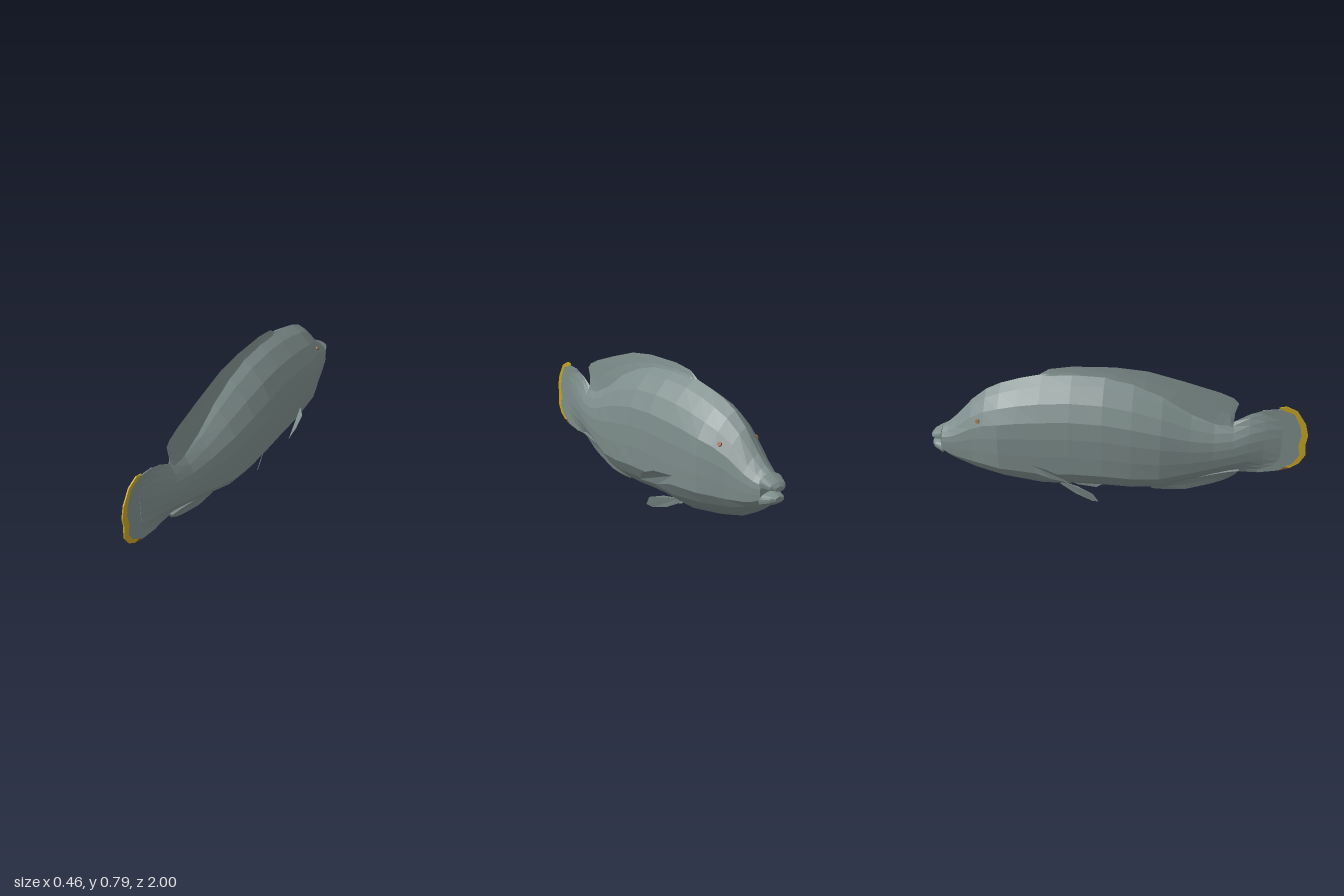
import * as THREE from 'three';

const mat = (name, color, extra = {}) => {
  const m = new THREE.MeshStandardMaterial({ color, flatShading: true, ...extra });
  m.name = name;
  return m;
};

// Skin over rings of [x, y, z] points; rings run towards +z, points counterclockwise seen from +z
function loft(rings) {
  const n = rings[0].length, idx = [];
  for (let i = 0; i < rings.length - 1; i++)
    for (let j = 0; j < n; j++) {
      const a = i * n + j, b = i * n + (j + 1) % n;
      idx.push(a, b, b + n, a, b + n, a + n);
    }
  const last = (rings.length - 1) * n;
  for (let j = 1; j < n - 1; j++) idx.push(0, j + 1, j, last, last + j, last + j + 1);
  const g = new THREE.BufferGeometry();
  g.setAttribute('position', new THREE.Float32BufferAttribute(rings.flat(2), 3));
  g.setIndex(idx);
  g.computeVertexNormals();
  return g;
}

// Half cross-section, from keel to back: [share of half width, share of height]
const HALF = [[0, 0], [0.38, 0.06], [0.73, 0.14], [0.97, 0.24], [1, 0.4], [1, 0.56],
  [0.94, 0.7], [0.7, 0.83], [0.34, 0.94], [0, 1]];

// Full ring at z; pinch makes the section lens-shaped towards the tail
function section([z, bottom, top, w, pinch = 0]) {
  const right = HALF.map(([fx, fy]) => [
    w * fx * (1 - pinch + pinch * Math.sin(Math.PI * fy)), bottom + (top - bottom) * fy, z]);
  const left = right.slice(1, -1).reverse().map(([x, y, zz]) => [-x, y, zz]);
  return [...right, ...left];
}

// Median fin: columns of [base z, base y, tip z, tip y]; wedge-shaped in section
function medianFin(columns, w) {
  return loft(columns.map(([bz, by, tz, ty]) => {
    const s = ty > by ? w : -w, mz = (bz + tz) / 2, my = (by + ty) / 2;
    return [[s, by, bz], [s * 0.4, my, mz], [0, ty, tz], [-s * 0.4, my, mz], [-s, by, bz]];
  }));
}

// Flat sheet from a list of corners, mirrored by side
function sheet(points, side) {
  const g = new THREE.BufferGeometry();
  const p = points.map(([x, y, z]) => [x * side, y, z]);
  const idx = [];
  for (let i = 1; i < p.length - 1; i++)
    side > 0 ? idx.push(0, i, i + 1) : idx.push(0, i + 1, i);
  g.setAttribute('position', new THREE.Float32BufferAttribute(p.flat(), 3));
  g.setIndex(idx);
  g.computeVertexNormals();
  return g;
}

// Thin upright plate on the middle plane from [z, y] corners
function plate(points, depth) {
  const shape = new THREE.Shape(points.map(([z, y]) => new THREE.Vector2(z, y)));
  const g = new THREE.ExtrudeGeometry(shape, { depth, bevelEnabled: false });
  return g.translate(0, 0, -depth / 2).rotateY(-Math.PI / 2);
}

export function createModel() {
  const grey = mat('greyScales', 0x7d8d8b);
  const finGrey = grey.clone();
  finGrey.side = THREE.DoubleSide;
  finGrey.name = 'greyFin';
  const yellow = mat('yellowEdge', 0xc4a322);
  const brown = mat('brownEye', 0x8c5a30);

  const fish = new THREE.Group();
  fish.name = 'fish';
  const add = (name, geometry, material) => {
    const m = new THREE.Mesh(geometry, material);
    m.name = name;
    fish.add(m);
    return m;
  };

  // Body from snout to tail root: z, bottom, top, half width, pinch
  add('body', loft([
    [-0.94, 0.237, 0.388, 0.064], [-0.9, 0.207, 0.415, 0.078], [-0.85, 0.178, 0.46, 0.092],
    [-0.76, 0.134, 0.56, 0.114], [-0.68, 0.113, 0.625, 0.14], [-0.6, 0.094, 0.665, 0.163],
    [-0.5, 0.078, 0.698, 0.167], [-0.38, 0.06, 0.728, 0.171], [-0.22, 0.072, 0.745, 0.176],
    [-0.05, 0.075, 0.742, 0.178], [0.1, 0.07, 0.712, 0.171, 0.05], [0.25, 0.085, 0.655, 0.151, 0.1],
    [0.4, 0.14, 0.565, 0.108, 0.15], [0.52, 0.18, 0.52, 0.076, 0.25], [0.62, 0.21, 0.517, 0.055, 0.4],
    [0.7, 0.214, 0.567, 0.04, 0.7], [0.78, 0.217, 0.598, 0.022, 0.9], [0.87, 0.245, 0.6, 0.005, 1],
  ].map(section)), grey);

  // Jaws with an open slot between them
  add('upperJaw', loft([[-1, 0.32, 0.342, 0.024], [-0.985, 0.317, 0.36, 0.046],
    [-0.935, 0.312, 0.392, 0.066]].map(section)), grey);
  add('lowerJaw', loft([[-0.998, 0.268, 0.294, 0.022], [-0.98, 0.255, 0.301, 0.044],
    [-0.935, 0.234, 0.309, 0.066]].map(section)), grey);

  // Dorsal and anal fins
  add('dorsalFin', medianFin([
    [-0.4, 0.7, -0.39, 0.728], [-0.34, 0.71, -0.34, 0.76], [-0.22, 0.72, -0.22, 0.781],
    [0, 0.71, 0, 0.79], [0.15, 0.67, 0.17, 0.777], [0.28, 0.62, 0.36, 0.73],
    [0.4, 0.54, 0.54, 0.68], [0.5, 0.5, 0.61, 0.652], [0.56, 0.5, 0.637, 0.625],
    [0.6, 0.5, 0.62, 0.57], [0.61, 0.49, 0.62, 0.535],
  ], 0.018), finGrey);
  add('analFin', medianFin([
    [0.2, 0.1, 0.2, 0.066], [0.28, 0.12, 0.28, 0.066], [0.385, 0.16, 0.385, 0.076],
    [0.52, 0.2, 0.52, 0.123], [0.59, 0.22, 0.585, 0.152], [0.66, 0.235, 0.63, 0.182],
  ], 0.03), finGrey);

  // Tail fin with its coloured rim: inner and outer edges as [z, y], top to bottom
  const inner = [[0.85, 0.605], [0.92, 0.58], [0.955, 0.515], [0.967, 0.455], [0.957, 0.4],
    [0.967, 0.34], [0.94, 0.29], [0.9, 0.262]];
  const outer = [[0.84, 0.613], [0.877, 0.622], [0.935, 0.597], [0.983, 0.525], [1, 0.46],
    [0.993, 0.41], [1, 0.345], [0.97, 0.29], [0.925, 0.258]];
  add('tailFin', plate([[0.76, 0.592], ...inner, [0.92, 0.257], [0.866, 0.237], [0.76, 0.217]], 0.006), grey);
  add('tailRim', plate([...outer, ...[...inner].reverse()], 0.007), yellow);
  add('tailRimTip', plate([[0.866, 0.237], [0.9, 0.262], [0.925, 0.258]], 0.007), brown);

  // Paired fins and eyes
  const pectoral = [[0.165, 0.27, -0.42], [0.22, 0.285, -0.335], [0.228, 0.255, -0.25],
    [0.21, 0.205, -0.2], [0.178, 0.2, -0.31], [0.165, 0.225, -0.41]];
  const pelvic = [[0.03, 0.095, -0.3], [0.06, 0.087, -0.2], [0.088, 0.06, -0.11],
    [0.085, 0.012, -0.08], [0.068, 0, -0.115], [0.045, 0.025, -0.21], [0.025, 0.07, -0.3]];
  for (const side of [1, -1]) {
    const label = side > 0 ? 'Right' : 'Left';
    add('pectoralFin' + label, sheet(pectoral, side), finGrey);
    add('pelvicFin' + label, sheet(pelvic, side), finGrey);
    const eye = add('eye' + label, new THREE.CylinderGeometry(0.012, 0.012, 0.008, 6), brown);
    eye.position.set(side * 0.113, 0.487, -0.71);
    eye.quaternion.setFromUnitVectors(new THREE.Vector3(0, 1, 0),
      new THREE.Vector3(side * 0.87, 0.42, -0.27).normalize());
  }
  return fish;
}
